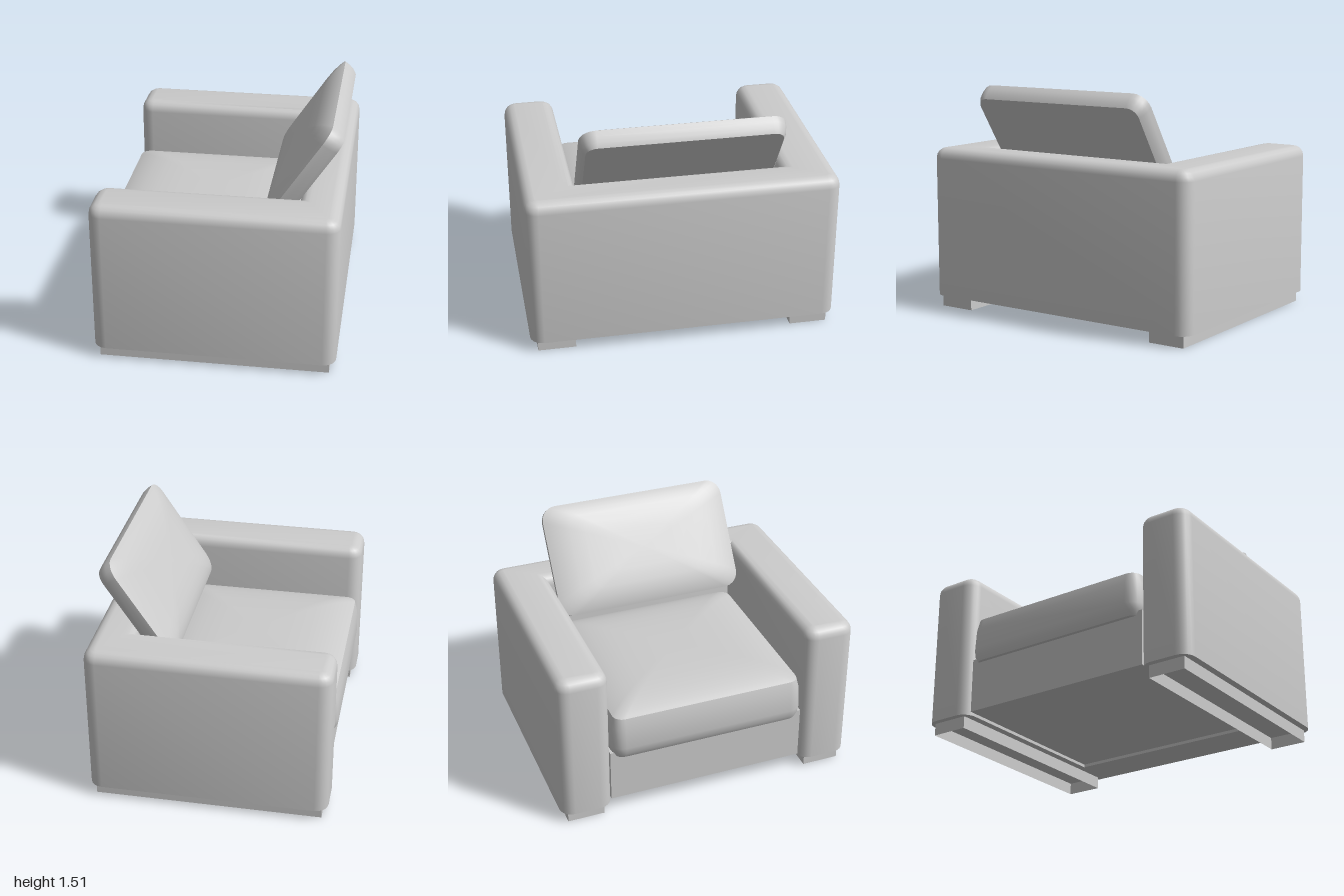
import * as THREE from 'three';
import { toCreasedNormals } from 'three/addons/utils/BufferGeometryUtils.js';

const material = new THREE.MeshStandardMaterial({ color: 0xcccccc });
const openMaterial = new THREE.MeshStandardMaterial({ color: 0xcccccc, side: THREE.DoubleSide });

function addMesh(parent, name, geometry, mat = material) {
  const mesh = new THREE.Mesh(geometry, mat);
  mesh.name = name;
  parent.add(mesh);
  return mesh;
}

// Closed path of [x, y, rounded] corners; rounded ones become arcs of radius r
function roundedShape(corners, r) {
  const shape = new THREE.Shape();
  const n = corners.length;
  corners.forEach(([x, y, rounded], i) => {
    const p = new THREE.Vector2(x, y);
    const toward = (c, d) => new THREE.Vector2(c[0], c[1]).sub(p).setLength(d).add(p);
    const before = corners[(i + n - 1) % n], after = corners[(i + 1) % n];
    const a = toward(before, rounded ? r : 0);
    if (i === 0) shape.moveTo(a.x, a.y);
    else shape.lineTo(a.x, a.y);
    if (rounded) {
      const c1 = toward(before, r * 0.448), c2 = toward(after, r * 0.448), b = toward(after, r);
      shape.bezierCurveTo(c1.x, c1.y, c2.x, c2.y, b.x, b.y);
    }
  });
  shape.closePath();
  return shape;
}

// U-shaped arms and back: bevelled along the top, flat underneath
function shellGeometry(bottom, top) {
  const bevel = 0.07;
  const outline = roundedShape([
    [-0.772, -1, true], [0.777, -1, true], [0.777, 1, true], [-0.772, 1, true],
    [-0.772, 0.66, true], [0.5, 0.66, false], [0.5, -0.66, false], [-0.772, -0.66, true],
  ], 0.085);
  const g = new THREE.ExtrudeGeometry(outline, {
    depth: top - bottom - bevel, curveSegments: 5,
    bevelThickness: bevel, bevelSize: bevel, bevelOffset: -bevel, bevelSegments: 4,
  });
  g.rotateX(-Math.PI / 2).translate(0, bottom, 0);
  const p = g.attributes.position;
  for (let i = 0; i < p.count; i++) p.setY(i, Math.max(p.getY(i), bottom));
  return toCreasedNormals(g, 0.7);
}

// One horizontal ring of a rounded rectangle
function ring(halfX, halfZ, r, y, scale = 1) {
  const points = [];
  const steps = 5;
  for (let q = 0; q < 4; q++) {
    const sx = q === 0 || q === 3 ? 1 : -1;
    const sz = q < 2 ? 1 : -1;
    for (let i = 0; i <= steps; i++) {
      const a = (q + i / steps) * Math.PI / 2;
      points.push([
        scale * (sx * (halfX - r) + r * Math.cos(a)), y,
        scale * (sz * (halfZ - r) + r * Math.sin(a)),
      ]);
    }
  }
  return points;
}

// Cushion: flat base, sides from a profile of [inset, height], crowned top
function cushionGeometry(width, depth, radius, profile, crown) {
  const hx = width / 2, hz = depth / 2;
  const rings = [ring(hx, hz, radius, profile[0][1], 0)];
  for (const [inset, y] of profile) rings.push(ring(hx - inset, hz - inset, radius - inset, y));
  const [inset, top] = profile[profile.length - 1];
  for (const t of [0.97, 0.93, 0.86, 0.76, 0.6, 0.35, 0]) {
    rings.push(ring(hx - inset, hz - inset, radius - inset, top + crown * (1 - t ** 4.5), t));
  }
  const n = rings[0].length;
  const index = [];
  for (let k = 0; k < rings.length - 1; k++) {
    for (let i = 0; i < n; i++) {
      const j = (i + 1) % n;
      const a = k * n + i, b = k * n + j, c = a + n, d = b + n;
      if (k > 0) index.push(a, d, b);
      if (k < rings.length - 2) index.push(a, c, d);
    }
  }
  const g = new THREE.BufferGeometry();
  g.setAttribute('position', new THREE.Float32BufferAttribute(rings.flat(2), 3));
  g.setIndex(index);
  return toCreasedNormals(g, 0.6);
}

export function createModel() {
  const chair = new THREE.Group();
  chair.name = 'armchair';

  addMesh(chair, 'armsAndBack', shellGeometry(0.08, 1.08));

  // Seat base between the arms
  const base = addMesh(chair, 'seatBase', new THREE.BoxGeometry(1.24, 0.36, 1.32));
  base.position.set(-0.11, 0.28, 0);

  // Seat cushion
  const seat = addMesh(chair, 'seatCushion', cushionGeometry(1.27, 1.31, 0.09,
    [[0.025, 0], [0.007, 0.035], [0, 0.08], [0.007, 0.22], [0.025, 0.29]], 0.07));
  seat.position.set(-0.145, 0.43, 0);

  // Loose back cushion, leaning on the top of the back
  const pillow = addMesh(chair, 'backCushion', cushionGeometry(0.75, 1.29, 0.1,
    [[0.03, 0], [0.012, 0.03], [0.002, 0.07], [0, 0.108]], 0.06));
  pillow.position.set(0.566, 1.135, -0.004);
  pillow.rotation.z = 0.988;

  // Runners: open frames under the arms
  for (const side of [-1, 1]) {
    const frame = new THREE.CylinderGeometry(Math.SQRT1_2, Math.SQRT1_2, 1, 4, 1, true, Math.PI / 4);
    frame.scale(1.47, 0.08, 0.245);
    const runner = addMesh(chair, side > 0 ? 'leftRunner' : 'rightRunner',
      toCreasedNormals(frame, 0.5), openMaterial);
    runner.position.set(0.002, 0.04, side * 0.8325);
  }
  return chair;
}
